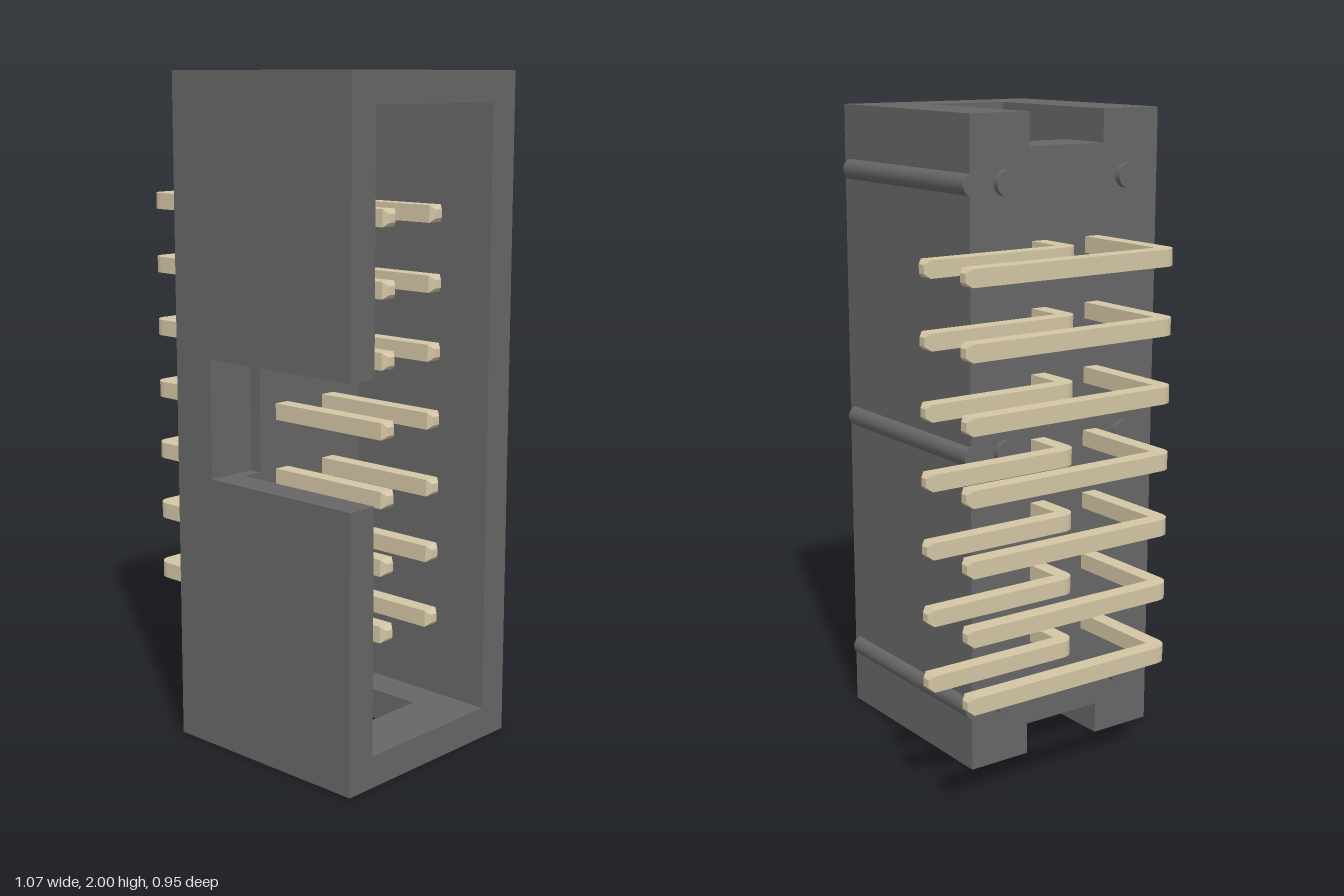
import * as THREE from 'three';

const dark = new THREE.MeshStandardMaterial({ color: 0x666666 });
const brass = new THREE.MeshStandardMaterial({ color: 0xd3c5a4 });

// Outer housing limits, cavity limits, key slot and end windows
const Z0 = -0.22, Z1 = 0.475, CZ0 = -0.12, CZ1 = 0.38;
const CY0 = 0.095, CY1 = 1.91, SY0 = 0.825, SY1 = 1.18, SZ = 0.315;
const WZ0 = -0.01, WZ1 = 0.265, WY0 = 0.1, WY1 = 1.9;
const X0 = -0.165, SLOT_X = -0.02, FLOOR_X = 0.02, WIN_X = 0.35, X1 = 0.53;

function add(group, name, geometry, material) {
  const mesh = new THREE.Mesh(geometry, material);
  mesh.name = name;
  group.add(mesh);
  return mesh;
}

// Prism along x from a list of [z, y] corners
function prismX(points, xa, xb) {
  const shape = new THREE.Shape(points.map(([z, y]) => new THREE.Vector2(-z, y)));
  return new THREE.ExtrudeGeometry(shape, { depth: xb - xa, bevelEnabled: false })
    .rotateY(Math.PI / 2).translate(xa, 0, 0);
}

function makeHousing() {
  const g = new THREE.Group();
  g.name = 'housing';

  // Solid base with a notch in each end, then a thin layer with the key slot
  const lower = [[Z0, 0], [WZ0, 0], [WZ0, WY0], [WZ1, WY0], [WZ1, 0], [Z1, 0]];
  const upper = [[Z1, 2], [WZ1, 2], [WZ1, WY1], [WZ0, WY1], [WZ0, 2], [Z0, 2]];
  const slot = [[Z1, SY0], [SZ, SY0], [SZ, SY1], [Z1, SY1]];
  add(g, 'base', prismX([...lower, ...upper], X0, SLOT_X), dark);
  add(g, 'slottedBase', prismX([...lower, ...slot, ...upper], SLOT_X, FLOOR_X), dark);

  // Walls beside the end windows
  add(g, 'backWall', prismX([[Z0, 0], [WZ0, 0], [WZ0, CY0], [CZ0, CY0],
    [CZ0, CY1], [WZ0, CY1], [WZ0, 2], [Z0, 2]], FLOOR_X, WIN_X), dark);
  add(g, 'lowerFrontWall', prismX([[WZ1, 0], [Z1, 0], [Z1, SY0], [CZ1, SY0],
    [CZ1, CY0], [WZ1, CY0]], FLOOR_X, WIN_X), dark);
  add(g, 'upperFrontWall', prismX([[WZ1, 2], [WZ1, CY1], [CZ1, CY1], [CZ1, SY1],
    [Z1, SY1], [Z1, 2]], FLOOR_X, WIN_X), dark);

  // Rim around the mouth, interrupted by the key slot
  add(g, 'rim', prismX([[Z0, 0], [Z1, 0], [Z1, SY0], [CZ1, SY0], [CZ1, CY0], [CZ0, CY0],
    [CZ0, CY1], [CZ1, CY1], [CZ1, SY1], [Z1, SY1], [Z1, 2], [Z0, 2]], WIN_X, X1), dark);

  // Round ribs on the back and standoff nubs underneath
  for (const y of [0.2, 1, 1.8]) {
    const rib = add(g, 'rib', new THREE.CylinderGeometry(0.033, 0.033, 0.67, 24).rotateZ(Math.PI / 2), dark);
    rib.position.set(0.17, y, -0.21);
    for (const z of [-0.1, 0.35]) {
      const nub = add(g, 'standoff', new THREE.CylinderGeometry(0.038, 0.038, 0.03, 24).rotateZ(Math.PI / 2), dark);
      nub.position.set(-0.17, y, z);
    }
  }
  return g;
}

// Right-angle square pin: contact leg along +x, tail along -z
function makePin(tailX, z) {
  const g = new THREE.Group();
  g.name = 'pin';
  const t = 0.05, h = t / 2, tip = 0.015, endX = 0.455, endZ = -0.48;
  const l = tailX - h, f = -(z + h);
  const s = new THREE.Shape();
  s.moveTo(endX - tip, f);
  s.lineTo(endX - tip, f + t);
  s.lineTo(l + t, f + t);
  s.lineTo(l + t, -endZ - tip);
  s.lineTo(l, -endZ - tip);
  s.lineTo(l, f + t);
  s.absarc(l + t, f + t, t, Math.PI, Math.PI * 1.5, false);
  add(g, 'pinBody', new THREE.ExtrudeGeometry(s, { depth: t, bevelEnabled: false, curveSegments: 8 })
    .rotateX(-Math.PI / 2).translate(0, -h, 0), brass);

  // Chamfered ends
  const chamfer = () => new THREE.CylinderGeometry(h * 0.5 * Math.SQRT2, h * Math.SQRT2, tip, 4)
    .toNonIndexed().rotateY(Math.PI / 4);
  const a = chamfer().rotateZ(-Math.PI / 2);
  const b = chamfer().rotateX(-Math.PI / 2);
  a.computeVertexNormals();
  b.computeVertexNormals();
  add(g, 'contactTip', a, brass).position.set(endX - tip / 2, 0, z);
  add(g, 'tailTip', b, brass).position.set(tailX, 0, endZ + tip / 2);
  return g;
}

export function createModel() {
  const model = new THREE.Group();
  model.name = 'pinHeader';
  model.add(makeHousing());

  // Two rows of seven pins
  for (const [tailX, z] of [[-0.51, 0.225], [-0.31, 0.025]]) {
    for (let i = 0; i < 7; i++) {
      const pin = makePin(tailX, z);
      pin.position.y = 0.4 + i * 0.2;
      model.add(pin);
    }
  }
  return model;
}
